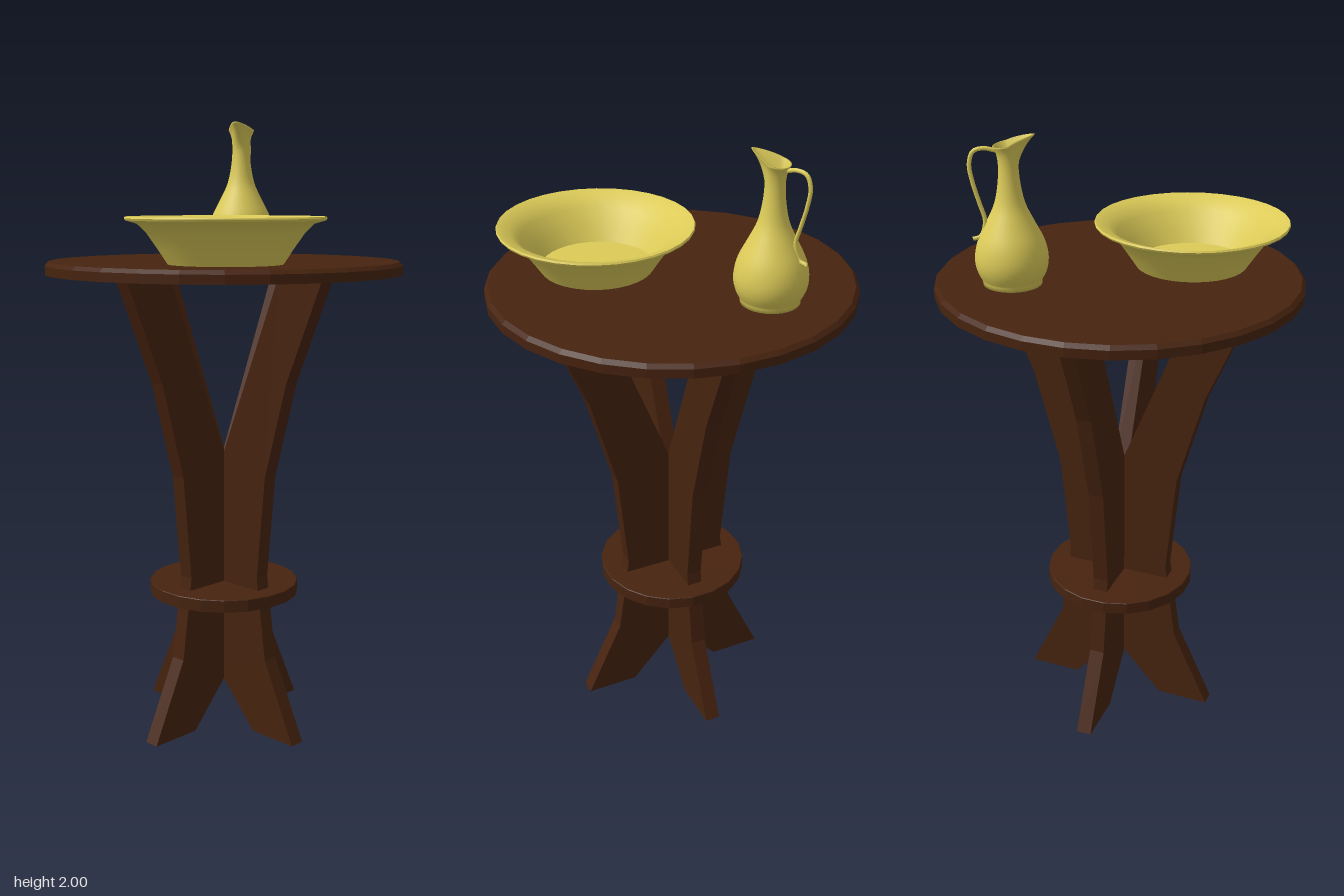
import * as THREE from 'three';
import { mergeVertices, toCreasedNormals } from 'three/addons/utils/BufferGeometryUtils.js';

const vecs = (pts) => pts.map(([x, y]) => new THREE.Vector2(x, y));

export function createModel() {
  const model = new THREE.Group();
  model.name = 'tableWithJugAndBowl';

  const wood = new THREE.MeshStandardMaterial({ color: 0x47230f });
  wood.name = 'dark wood';
  const brass = new THREE.MeshStandardMaterial({ color: 0xdccb58, side: THREE.DoubleSide });
  brass.name = 'brass';

  const add = (parent, name, geometry, material) => {
    const mesh = new THREE.Mesh(geometry, material);
    mesh.name = name;
    parent.add(mesh);
    return mesh;
  };

  // Faceted round board with a small chamfer on its upper edge
  const board = (name, radius, bottom, top, chamfer, sides) => {
    const profile = vecs([[0, bottom], [radius, bottom], [radius, top - chamfer], [radius - chamfer, top], [0, top]]);
    const geo = new THREE.LatheGeometry(profile, sides, Math.PI / sides).toNonIndexed();
    geo.computeVertexNormals();
    add(model, name, geo, wood);
  };
  board('tableTop', 0.573, 1.51, 1.55, 0.012, 28);
  board('lowerDisc', 0.247, 0.45, 0.49, 0.002, 20);

  // Four curved plank legs meeting on the axis
  const legShape = new THREE.Shape(vecs([
    [0, 0.175], [0.16, 0], [0.335, 0], [0.213, 0.26], [0.175, 0.53],
    [0.208, 0.87], [0.295, 1.18], [0.437, 1.511], [0.26, 1.511], [0, 0.87],
  ]));
  const legGeo = new THREE.ExtrudeGeometry(legShape, { depth: 0.05, bevelEnabled: false });
  legGeo.translate(0, 0, -0.025);
  for (let i = 0; i < 4; i++) {
    add(model, 'leg' + (i + 1), legGeo, wood).rotation.y = (i * Math.PI) / 2;
  }

  // Wide flared bowl
  const bowlGeo = new THREE.LatheGeometry(vecs([
    [0, 0.001], [0.176, 0.001], [0.205, 0.045], [0.24, 0.095], [0.268, 0.122], [0.303, 0.132],
    [0.306, 0.138], [0.303, 0.143], [0.264, 0.13], [0.235, 0.102], [0.2, 0.052], [0.174, 0.01], [0, 0.01],
  ]), 32);
  add(model, 'bowl', toCreasedNormals(bowlGeo, 0.7), brass).position.set(0.177, 1.55, 0.171);

  // Jug, built with its spout towards +z and then turned
  const jug = new THREE.Group();
  jug.name = 'jug';
  jug.position.set(-0.19, 1.55, -0.275);
  jug.rotation.y = 0.52;
  model.add(jug);

  const outline = new THREE.SplineCurve(vecs([
    [0.09, 0.012], [0.106, 0.045], [0.111, 0.085], [0.1, 0.135], [0.073, 0.19],
    [0.047, 0.245], [0.034, 0.305], [0.03, 0.36], [0.034, 0.4], [0.044, 0.425],
  ])).getPoints(30);
  const inner = vecs([[0.04, 0.425], [0.028, 0.39], [0.024, 0.34], [0.022, 0.3], [0, 0.3]]);
  const jugGeo = new THREE.LatheGeometry([...vecs([[0, 0], [0.09, 0]]), ...outline, ...inner], 32);
  // Pull the lip forward and up into a pointed spout
  const p = jugGeo.attributes.position;
  for (let i = 0; i < p.count; i++) {
    const x = p.getX(i), y = p.getY(i), z = p.getZ(i);
    const t = THREE.MathUtils.smoothstep(y, 0.36, 0.425);
    const forward = z / (Math.hypot(x, z) || 1);
    const front = Math.max(0, forward);
    p.setXYZ(i, x * (1 - 0.35 * t * front), y + t * (0.008 * forward + 0.017 * front), z * (1 + 0.85 * t * front));
  }
  jugGeo.deleteAttribute('uv');
  jugGeo.deleteAttribute('normal');
  const jugBody = mergeVertices(jugGeo, 1e-5);
  jugBody.computeVertexNormals();
  add(jug, 'jugBody', jugBody, brass);

  // Looped handle with a small curled tail
  const handlePath = new THREE.CatmullRomCurve3([
    [0.405, -0.034], [0.413, -0.07], [0.405, -0.1], [0.37, -0.113], [0.315, -0.106],
    [0.255, -0.09], [0.195, -0.075], [0.15, -0.09], [0.143, -0.113],
  ].map(([y, z]) => new THREE.Vector3(0, y, z)));
  add(jug, 'jugHandle', new THREE.TubeGeometry(handlePath, 40, 0.0065, 8), brass);

  return model;
}
